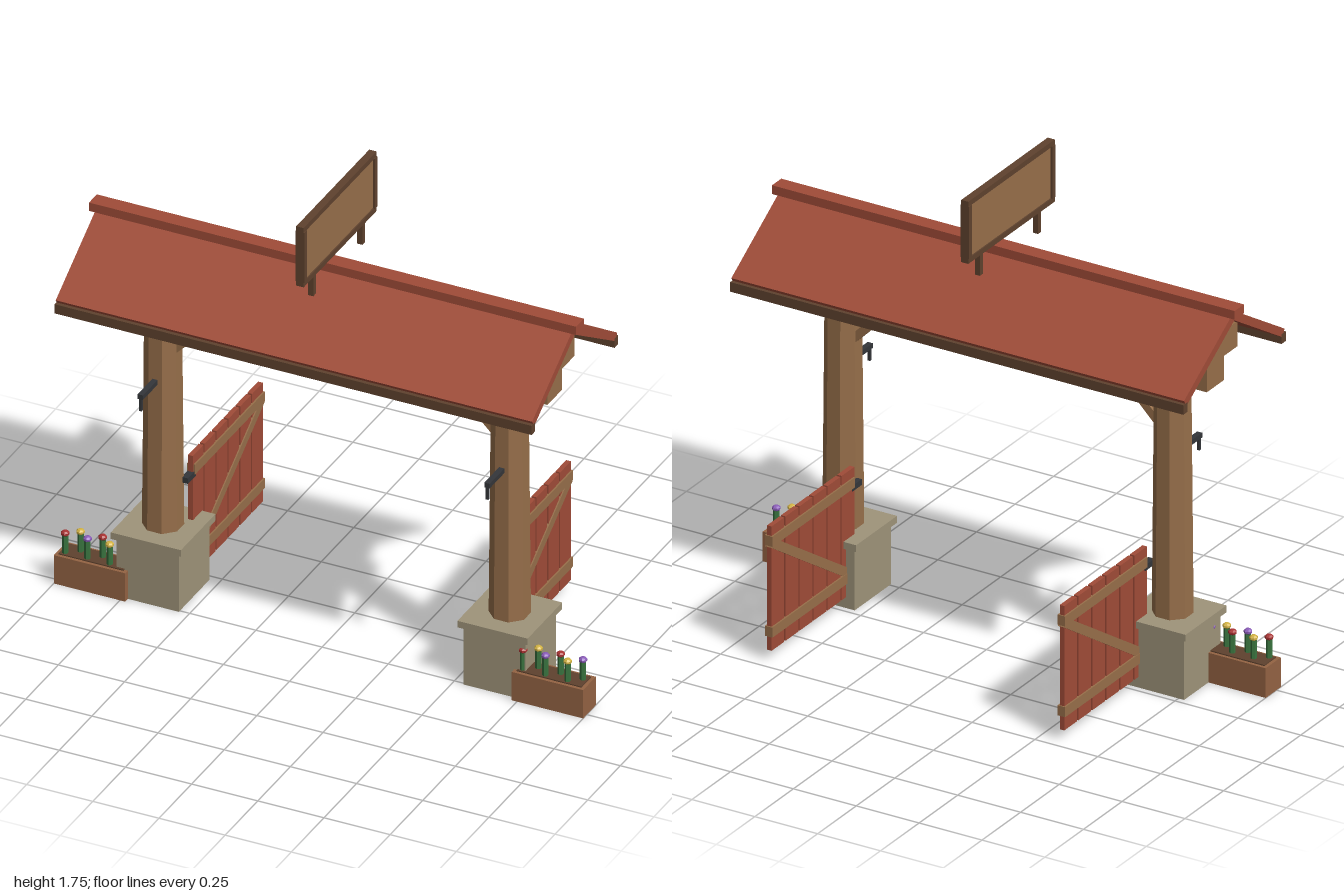
import * as THREE from 'three';

const mat = (name, color) => Object.assign(new THREE.MeshStandardMaterial({ color, flatShading: true }), { name });
const M = {
  wood: mat('timber', 0x976f4a),
  dark: mat('dark timber', 0x5f422e),
  red: mat('red paint', 0xa04c38),
  stone: mat('stone', 0x9f947a),
  box: mat('planter wood', 0x946343),
  iron: mat('iron', 0x34363a),
  green: mat('stem green', 0x3a7540),
  bloomRed: mat('red petals', 0xa83232),
  bloomYellow: mat('yellow petals', 0xd4b445),
  bloomPurple: mat('purple petals', 0x8a5cb8),
};

const Z = 0.14; // centre line of posts and ridge

function add(parent, name, geometry, material, x, y, z) {
  const mesh = new THREE.Mesh(geometry, material);
  mesh.name = name;
  mesh.position.set(x, y, z);
  parent.add(mesh);
  return mesh;
}

const box = (parent, name, material, w, h, d, x, y, z) =>
  add(parent, name, new THREE.BoxGeometry(w, h, d), material, x, y, z);

function group(parent, name) {
  const g = new THREE.Group();
  g.name = name;
  parent.add(g);
  return g;
}

// Stone footing, eight-sided tapered post, brace and lantern hook
function buildPost(root, s) {
  const g = group(root, s > 0 ? 'leftPost' : 'rightPost');
  const x = s * 0.655;
  box(g, 'footing', M.stone, 0.235, 0.23, 0.235, x, 0.115, Z);
  box(g, 'footingCap', M.stone, 0.265, 0.026, 0.265, x, 0.243, Z);
  const post = new THREE.CylinderGeometry(0.064, 0.072, 0.91, 8).rotateY(Math.PI / 8);
  add(g, 'post', post, M.wood, x, 0.705, Z);
  const brace = box(g, 'brace', M.wood, 0.28, 0.03, 0.04, s * 0.51, 1.063, Z);
  brace.rotation.z = -s * Math.PI / 4;
  box(g, 'hookArm', M.iron, 0.02, 0.018, 0.115, x, 0.85, 0.2575);
  box(g, 'hookDrop', M.iron, 0.01, 0.055, 0.01, x, 0.822, 0.31);
}

// Open plank gate swung to the back
function buildGate(root, s) {
  const g = group(root, s > 0 ? 'leftGate' : 'rightGate');
  const x = s * 0.582;
  for (let i = 0; i < 6; i++) {
    box(g, 'plank', M.red, 0.018, 0.47, 0.082, x, 0.275, 0.037 - i * 0.0908);
  }
  for (const y of [0.112, 0.455]) box(g, 'rail', M.wood, 0.03, 0.038, 0.535, x, y, -0.195);
  const diagonal = box(g, 'diagonalBrace', M.wood, 0.027, 0.034, 0.57, x, 0.29, -0.215);
  diagonal.rotation.x = Math.atan2(0.31, 0.475);
  box(g, 'hinge', M.iron, 0.024, 0.022, 0.06, x, 0.435, 0.092);
}

// Planter trough with a row of flowers
function buildPlanter(root, s) {
  const g = group(root, s > 0 ? 'leftPlanter' : 'rightPlanter');
  const x = s * 0.865;
  box(g, 'trough', M.box, 0.27, 0.112, 0.098, x, 0.056, 0.229);
  box(g, 'soil', M.dark, 0.245, 0.006, 0.074, x, 0.113, 0.229);
  const petals = [M.bloomRed, M.bloomYellow, M.bloomPurple];
  const stem = new THREE.CylinderGeometry(0.011, 0.011, 0.075, 6);
  const head = new THREE.SphereGeometry(0.016, 7, 5).scale(1, 0.7, 1);
  for (let i = 0; i < 6; i++) {
    const fx = x - 0.105 + i * 0.042;
    const fz = 0.235 + (i % 2 ? -0.016 : 0.016);
    add(g, 'stem', stem, M.green, fx, 0.152, fz);
    add(g, 'flower', head, petals[i % 3], fx, 0.193, fz);
  }
}

// Main beam, bolsters, king posts and gable roof
function buildRoof(root) {
  const g = group(root, 'roof');
  box(g, 'mainBeam', M.wood, 1.65, 0.11, 0.112, 0, 1.205, Z);
  for (const s of [-1, 1]) box(g, 'crossBeam', M.wood, 0.09, 0.095, 0.22, s * 0.8, 1.3075, Z);
  for (let i = 0; i < 4; i++) {
    box(g, 'kingPost', M.dark, 0.035, 0.13, 0.035, -0.435 + i * 0.29, 1.313, Z);
  }
  const angle = Math.atan2(0.2, 0.32);
  for (const s of [-1, 1]) {
    const slab = box(g, 'roofSlope', M.red, 1.8, 0.03, 0.382, 0,
      1.351 - 0.015 * Math.cos(angle), Z + s * (0.164 - 0.015 * Math.sin(angle)));
    slab.rotation.x = s * angle;
    box(g, 'eaveBoard', M.dark, 1.802, 0.036, 0.028, 0, 1.219, Z + s * 0.318);
  }
  box(g, 'ridgeCap', M.red, 1.84, 0.033, 0.06, 0, 1.4545, Z);
}

// Blank framed board standing over the ridge
function buildSign(root) {
  const g = group(root, 'signBoard');
  box(g, 'panel', M.wood, 0.018, 0.2, 0.53, 0, 1.637, Z);
  for (const y of [1.53, 1.745]) box(g, 'frameRail', M.dark, 0.028, 0.02, 0.56, 0, y, Z);
  for (const s of [-1, 1]) {
    box(g, 'frameStile', M.dark, 0.034, 0.198, 0.02, 0, 1.6375, Z + s * 0.27);
    box(g, 'signLeg', M.dark, 0.02, 0.085, 0.02, 0, 1.482, Z + s * 0.188);
  }
}

export function createModel() {
  const root = new THREE.Group();
  root.name = 'roofedGateway';
  for (const s of [-1, 1]) {
    buildPost(root, s);
    buildGate(root, s);
    buildPlanter(root, s);
  }
  buildRoof(root);
  buildSign(root);
  return root;
}
